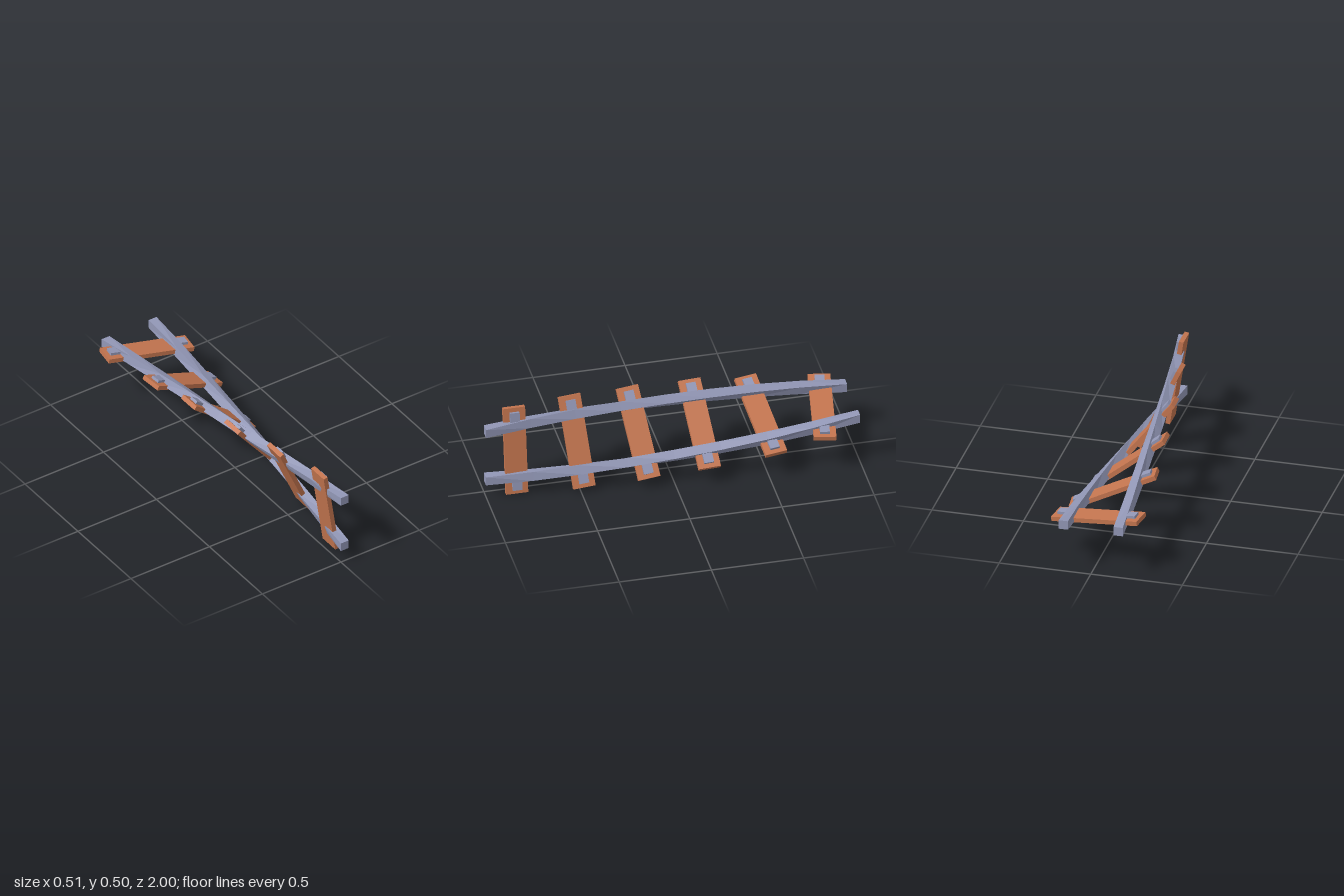
import * as THREE from 'three';

const RAIL = 0.05, GAUGE = 0.15, AXIS_Y = 0.25;

// Twist about the z axis: upright at the front, lying flat at the back
const twist = (z) => {
  const t = (1 - z) / 2;
  return -Math.PI / 2 + t * Math.PI / 2 + 0.035 * Math.sin(2 * Math.PI * t);
};

// Square bar whose points are turned about the axis by the twist
function railGeometry(side) {
  const geo = new THREE.BoxGeometry(RAIL, RAIL, 2, 1, 1, 8);
  const p = geo.attributes.position;
  for (let i = 0; i < p.count; i++) {
    const x = p.getX(i) + side * GAUGE, y = p.getY(i) + RAIL / 2, z = p.getZ(i);
    const c = Math.cos(twist(z)), s = Math.sin(twist(z));
    p.setXYZ(i, x * c - y * s, AXIS_Y + x * s + y * c, z);
  }
  const flat = geo.toNonIndexed();
  flat.computeVertexNormals();
  return flat;
}

export function createModel() {
  const model = new THREE.Group();
  model.name = 'twistedTrack';
  const steel = new THREE.MeshStandardMaterial({ color: 0x9297b6 });
  steel.name = 'steel';
  const wood = new THREE.MeshStandardMaterial({ color: 0xc4754f });
  wood.name = 'wood';

  const add = (parent, name, geo, mat) => {
    const mesh = new THREE.Mesh(geo, mat);
    mesh.name = name;
    parent.add(mesh);
    return mesh;
  };

  add(model, 'upperRail', railGeometry(-1), steel);
  add(model, 'lowerRail', railGeometry(1), steel);

  // Cross ties, each set slightly askew, with a steel plate outside each rail
  const tieGeo = new THREE.BoxGeometry(0.5, 0.025, 0.12);
  const plateGeo = new THREE.BoxGeometry(0.085, 0.015, 0.052);
  [0, 4, 5.7, 2.4, 7.4, -9.2].forEach((yaw, i) => {
    const z = 0.833 - i / 3;
    const frame = new THREE.Group();
    frame.name = 'tieFrame' + (i + 1);
    frame.position.set(0, AXIS_Y, z);
    frame.rotation.z = twist(z);
    const tie = new THREE.Group();
    tie.name = 'tieAssembly';
    tie.rotation.y = THREE.MathUtils.degToRad(yaw);
    add(tie, 'tie', tieGeo, wood).position.y = 0.0125;
    for (const side of [-1, 1]) {
      add(tie, 'railPlate', plateGeo, steel).position.set(side * 0.1835, 0.0325, 0);
    }
    frame.add(tie);
    model.add(frame);
  });
  return model;
}
